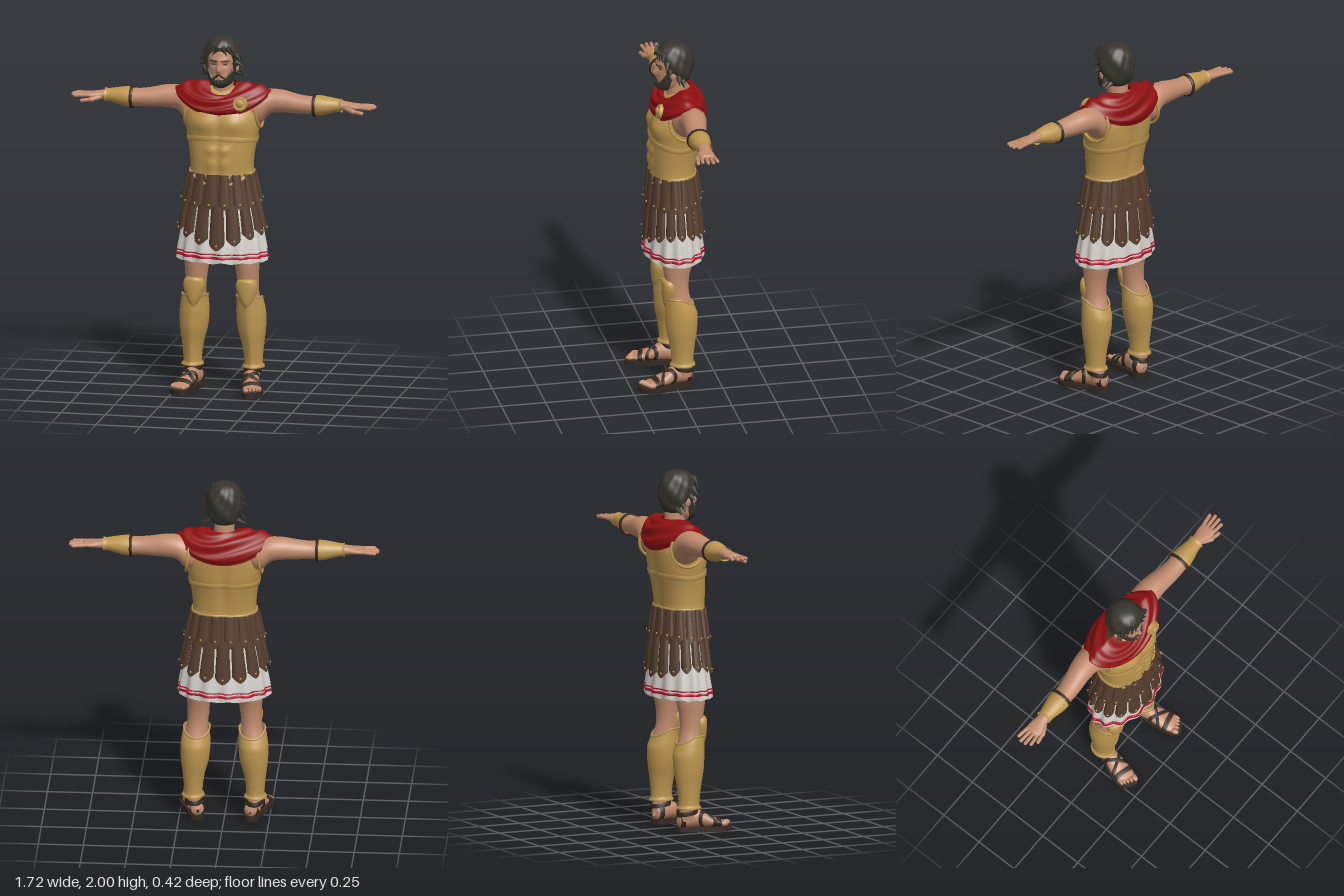
import * as THREE from 'three';
import { mergeGeometries, mergeVertices } from 'three/addons/utils/BufferGeometryUtils.js';

const { PI, sin, cos, abs, max, min, exp } = Math;
const mat = (name, color) => {
  const m = new THREE.MeshStandardMaterial({ color, side: THREE.DoubleSide });
  m.name = name;
  return m;
};
const pw = (v, e) => Math.sign(v) * abs(v) ** e;
const mix = (a, b, t) => a + (b - a) * t;
const step = THREE.MathUtils.smoothstep;
const gauss = (x, y, cx, cy, sx, sy) => exp(-(((x - cx) / sx) ** 2) - ((y - cy) / sy) ** 2);

// Smooth surface from f(u, v) -> [x, y, z]; wraps around in u when closed
function grid(nu, nv, f, closed = true) {
  const pos = [], idx = [], cols = closed ? nu : nu + 1;
  for (let j = 0; j <= nv; j++) for (let i = 0; i < cols; i++) pos.push(...f(i / nu, j / nv));
  for (let j = 0; j < nv; j++) for (let i = 0; i < nu; i++) {
    const a = j * cols + i, b = j * cols + (i + 1) % cols;
    idx.push(a, b, b + cols, a, b + cols, a + cols);
  }
  const g = new THREE.BufferGeometry();
  g.setAttribute('position', new THREE.Float32BufferAttribute(pos, 3));
  g.setIndex(idx);
  g.computeVertexNormals();
  return g;
}

// Rings are [height, centreX, centreZ, radiusX, radiusZ], interpolated smoothly by height
function ringAt(R, y) {
  const n = R.length;
  let i = 0;
  while (i < n - 2 && y > R[i + 1][0]) i++;
  const slope = (k, c) => {
    const a = R[max(k - 1, 0)], b = R[min(k + 1, n - 1)];
    return (b[c] - a[c]) / (b[0] - a[0]);
  };
  const h = R[i + 1][0] - R[i][0], s = min(1, max(0, (y - R[i][0]) / h));
  return [1, 2, 3, 4].map(c => (1 + 2 * s) * (1 - s) ** 2 * R[i][c] + s * s * (3 - 2 * s) * R[i + 1][c]
    + h * s * (1 - s) ** 2 * slope(i, c) + h * s * s * (s - 1) * slope(i + 1, c));
}
function ringPoint(R, a, y, off = 0, e = 1) {
  const [x, z, rx, rz] = ringAt(R, y);
  return [x + (rx + off) * pw(sin(a), e), y, z + (rz + off) * pw(cos(a), e)];
}
function loft(R, seg = 32, fn = (a, y) => ringPoint(R, a, y), sub = 5) {
  const n = R.length - 1;
  return grid(seg, n * sub, (u, v) => {
    const i = min(n - 1, Math.floor(v * n + 1e-6));
    return fn(u * 2 * PI, mix(R[i][0], R[i + 1][0], v * n - i));
  });
}
// Raised strip running round a surface
const band = (fn, y0, y1, off, seg = 64) => grid(seg, 3, (u, v) => {
  const r = Math.round(v * 3);
  return fn(u * 2 * PI, r < 2 ? y0 : y1, r % 3 ? off : -0.003);
});
const rod = (a, b, r) => {
  const p = new THREE.Vector3(...a), q = new THREE.Vector3(...b), d = q.clone().sub(p);
  const g = new THREE.CapsuleGeometry(r, d.length(), 4, 10);
  g.applyQuaternion(new THREE.Quaternion().setFromUnitVectors(new THREE.Vector3(0, 1, 0), d.normalize()));
  return g.translate(...p.add(q).multiplyScalar(0.5).toArray());
};
const ball = (p, s) => new THREE.SphereGeometry(1, 20, 14).scale(...s).translate(...p);
const mirrored = g => {
  const m = (g.index ? g.clone() : mergeVertices(g)).scale(-1, 1, 1), ix = m.index.array;
  for (let i = 0; i < ix.length; i += 3) [ix[i], ix[i + 1]] = [ix[i + 1], ix[i]];
  return m;
};

export function createModel() {
  const root = new THREE.Group();
  root.name = 'warrior';
  const skin = mat('skin', 0xc08a6c), gold = mat('gold', 0xbd964f), leather = mat('leather', 0x553c2d),
    dark = mat('dark leather', 0x322820), hair = mat('hair', 0x38342d), red = mat('cape red', 0x8f0f10),
    white = mat('tunic white', 0xd6d2cc), trim = mat('trim red', 0xc0102c);
  const add = (name, g, m) => {
    const mesh = new THREE.Mesh(Array.isArray(g) ? mergeGeometries(g) : g, m);
    mesh.name = name;
    root.add(mesh);
  };
  const pair = (name, g, m) => {
    const one = Array.isArray(g) ? mergeGeometries(g) : g;
    add('left ' + name, one, m);
    add('right ' + name, mirrored(one), m);
  };

  // Muscled breastplate
  const torsoR = [[1.235, 0, -0.015, 0.178, 0.122], [1.27, 0, -0.016, 0.175, 0.122], [1.35, 0, -0.02, 0.182, 0.13],
    [1.45, 0, -0.032, 0.198, 0.138], [1.52, 0, -0.038, 0.208, 0.14], [1.58, 0, -0.048, 0.2, 0.134],
    [1.64, 0, -0.056, 0.17, 0.112], [1.69, 0, -0.055, 0.12, 0.07], [1.71, 0, -0.05, 0.06, 0.04]];
  const torso = (a, y, off = 0) => {
    const p = ringPoint(torsoR, a, y, off, 0.86), c = cos(a), x = abs(p[0]);
    if (c > 0) {
      p[2] += 0.02 * gauss(x, y, 0.085, 1.53, 0.07, 0.055) - 0.006 * gauss(x, y, 0, 1.4, 0.012, 0.15);
      for (const r of [1.375, 1.318, 1.262]) p[2] += 0.014 * gauss(x, y, 0.038, r, 0.03, 0.024);
      p[1] -= 0.07 * c ** 3 * max(0, 1 - (y - 1.235) / 0.12);
    } else p[2] += 0.012 * gauss(x, y, 0, 1.42, 0.03, 0.2);
    return p;
  };
  add('breastplate', loft(torsoR, 96, torso, 8), gold);
  add('breastplate hem', band(torso, 1.233, 1.247, 0.007), gold);
  add('chest band', band((a, y, o) => torso(a, y + 0.026 * cos(a) * (cos(a) > 0 ? 1 : -0.5), o), 1.402, 1.43, 0.006, 96), gold);
  pair('armhole rim', new THREE.TorusGeometry(0.1, 0.008, 8, 40).rotateY(PI / 2).rotateZ(0.12)
    .translate(0.198, 1.585, -0.062), gold);

  // Draped cape
  add('cape', grid(96, 24, (u, v) => {
    const a = u * 2 * PI, c = cos(a), s = sin(a), w = 1 - v, edge = w > 0.95 ? 1 : 0;
    const front = max(0, c);
    const inner = [0.075 * s, 1.735 - 0.06 * front, -0.045 + 0.07 * c];
    const outer = [0.285 * s, 1.69 - 0.118 * abs(c) ** 1.5, -0.052 + (c > 0 ? 0.155 : 0.152) * c];
    const bulge = sin(w * PI), fold = 0.007 * sin(w * 15 + 2.5 * sin(a * 2 + 0.6)) * bulge;
    return [mix(inner[0], outer[0], w) + s * 0.012 * bulge - edge * 0.015 * s,
      mix(inner[1], outer[1], w) + 0.016 * bulge + fold - edge * 0.008,
      mix(inner[2], outer[2], w) + c * (0.02 * bulge + fold) - edge * 0.015 * c];
  }), red);
  add('brooch', [new THREE.CylinderGeometry(0.036, 0.042, 0.02, 24).rotateX(PI / 2 - 0.25).translate(0.12, 1.64, 0.082),
    ball([0.12, 1.643, 0.092], [0.022, 0.022, 0.012])], gold);

  // Neck and head
  add('neck', loft([[1.62, 0, -0.05, 0.085, 0.08], [1.69, 0, -0.045, 0.06, 0.06], [1.8, 0, -0.035, 0.055, 0.06]]), skin);
  const headR = [[1.715, 0, 0.025, 0.006, 0.006], [1.74, 0, 0.013, 0.048, 0.055], [1.78, 0, 0, 0.066, 0.07],
    [1.84, 0, -0.01, 0.077, 0.081], [1.9, 0, -0.016, 0.08, 0.086], [1.96, 0, -0.02, 0.06, 0.065], [1.985, 0, -0.02, 0.01, 0.01]];
  const head = (a, y, off = 0) => {
    const p = ringPoint(headR, a, y, off), x = abs(p[0]);
    if (cos(a) > 0) p[2] += 0.02 * gauss(x, y, 0, 1.822, 0.013, 0.018) + 0.011 * gauss(x, y, 0, 1.85, 0.011, 0.025)
      - 0.008 * gauss(x, y, 0.032, 1.855, 0.017, 0.012) + 0.005 * gauss(x, y, 0.03, 1.88, 0.03, 0.01)
      + 0.005 * gauss(x, y, 0, 1.783, 0.02, 0.008);
    return p;
  };
  add('head', loft(headR, 96, head, 8), skin);
  pair('ear', ball([0.086, 1.83, -0.005], [0.012, 0.028, 0.018]), skin);
  pair('eye', ball([0.032, 1.856, 0.06], [0.015, 0.004, 0.004]), dark);
  pair('eyebrow', rod([0.014, 1.876, 0.076], [0.052, 1.877, 0.056], 0.004), hair);

  // Beard and moustache follow the jaw
  add('beard', grid(48, 14, (u, v) => {
    const a = mix(-1.5, 1.5, u), top = mix(1.77, 1.845, step(abs(a), 0.35, 1.3));
    return head(a, mix(1.716, top, v), v === 1 ? -0.003 : 0.009 + 0.002 * sin(a * 22 + v * 5));
  }, false), hair);
  pair('moustache', rod([0.004, 1.798, 0.077], [0.034, 1.774, 0.066], 0.006), hair);

  // Wavy hair with loose locks
  add('hair', grid(96, 30, (u, v) => {
    const a = u * 2 * PI, t = abs(a > PI ? a - 2 * PI : a);
    const low = mix(mix(0.42, -0.35, step(t, 0.65, 1.15)), -1.05, step(t, 1.5, 2.2));
    const f = mix(low, PI / 2, v), c = max(0, cos(f));
    const r = (v === 0 ? 0.84 : 1) * (1 + c * (0.03 * sin(5 * a + 6 * f) + 0.02 * sin(11 * a - 5 * f)));
    return [0.102 * r * c ** 0.7 * sin(a), 1.873 + 0.126 * sin(f), -0.026 + 0.108 * r * c ** 0.7 * cos(a)];
  }), hair);
  const lock = (p, d, len, r) => new THREE.ConeGeometry(r, len, 8).translate(0, len * 0.35, 0).applyQuaternion(
    new THREE.Quaternion().setFromUnitVectors(new THREE.Vector3(0, 1, 0), new THREE.Vector3(...d).normalize())).translate(...p);
  pair('side locks', [lock([0.088, 1.9, 0.03], [0.7, -0.7, 0.3], 0.055, 0.018), lock([0.092, 1.86, 0.015], [0.8, -0.4, 0.2], 0.05, 0.016),
    lock([0.086, 1.82, -0.035], [0.7, -0.8, 0], 0.065, 0.02), lock([0.075, 1.79, -0.06], [0.9, -0.4, 0], 0.07, 0.02),
    lock([0.078, 1.85, 0.022], [0, -1, 0.1], 0.06, 0.014)], hair);
  add('fringe', [-0.06, -0.035, -0.01, 0.02, 0.045, 0.065].map((x, i) =>
    lock([x, 1.945, 0.068 - 5 * x * x], [i < 3 ? -0.6 : 0.6, -0.8, 0.25], 0.055, 0.018)), hair);

  // Pleated tunic with red trim
  const skirtR = [[0.74, 0, -0.02, 0.256, 0.163], [0.9, 0, -0.021, 0.243, 0.154], [1.05, 0, -0.02, 0.212, 0.14], [1.25, 0, -0.018, 0.168, 0.116]];
  const tunic = (a, y, o = 0) => ringPoint(skirtR, a, y, o - 0.01 * step(y, 0.75, 0.92)
    + 0.008 * sin(14 * a) * step(1.1 - y, 0, 0.36));
  add('tunic', grid(140, 14, (u, v) => {
    const p = tunic(u * 2 * PI, mix(0.742, 1.12, v));
    p[1] += 0.005 * sin(14 * u * 2 * PI) * (1 - v);
    return p;
  }), white);
  add('tunic trim', [band(tunic, 0.766, 0.78, 0.003, 140), band(tunic, 0.789, 0.796, 0.003, 140)], trim);

  // Two layers of leather strips with studs
  add('waist lining', grid(64, 4, (u, v) => ringPoint(skirtR, u * 2 * PI, mix(1.05, 1.25, v), -0.004)), leather);
  const strips = (n, shift, width, bottom, off) => Array.from({ length: n }, (_, i) => {
    const a0 = (i + shift) / n * 2 * PI, end = bottom(a0);
    return grid(8, 12, (u, v) => {
      const k = abs(2 * u - 1), edge = k > 0.99 ? -0.01 : 0;
      const w = width * (0.85 + 0.15 * (1 - v));
      return ringPoint(skirtR, a0 + (u - 0.5) * w, mix(end + 0.035 * k ** 1.5, 1.24, v), off + 0.007 * (1 - k * k) + edge);
    }, false);
  });
  const longEnd = a => 0.9 - 0.05 * cos(a) ** 2 - 0.035 * max(0, cos(a)) ** 12;
  const shortEnd = a => 1.06 - 0.015 * cos(a);
  add('long strips', strips(16, 0, 0.36, longEnd, 0.006), leather);
  add('short strips', strips(16, 0.5, 0.385, shortEnd, 0.017), leather);
  const studs = (shift, end, off) => Array.from({ length: 16 }, (_, i) => {
    const a = (i + shift) / 16 * 2 * PI;
    return ball(ringPoint(skirtR, a, end(a) + 0.028, off), [0.006, 0.006, 0.006]);
  });
  add('strip studs', [...studs(0, longEnd, 0.013), ...studs(0.5, shortEnd, 0.024)], gold);

  // Arms lie along x: lofted upright, then turned
  const armY = 1.63;
  const turn = g => g.rotateZ(-PI / 2).translate(0, armY, 0);
  const armR = [[0.13, 0.03, -0.065, 0.07, 0.075], [0.2, 0.035, -0.066, 0.094, 0.09], [0.26, 0.002, -0.077, 0.07, 0.074],
    [0.33, -0.003, -0.075, 0.063, 0.066], [0.4, 0.004, -0.066, 0.056, 0.06], [0.47, 0.008, -0.06, 0.05, 0.055],
    [0.55, 0.008, -0.06, 0.05, 0.052], [0.65, 0.003, -0.06, 0.032, 0.037], [0.69, 0.003, -0.058, 0.025, 0.036],
    [0.74, 0.004, -0.055, 0.018, 0.046], [0.775, 0.004, -0.055, 0.014, 0.042], [0.785, 0.004, -0.055, 0.003, 0.03]];
  pair('arm', turn(loft(armR)), skin);
  pair('fingers', [[-0.09, -0.1, 0.835], [-0.068, -0.073, 0.85], [-0.045, -0.045, 0.848], [-0.022, -0.016, 0.832]].map(
    ([z0, z1, x]) => rod([0.765, 1.626, z0], [x, 1.624, z1], 0.0105)).concat(
    rod([0.695, 1.618, -0.032], [0.74, 1.606, -0.008], 0.015), rod([0.74, 1.606, -0.008], [0.79, 1.6, 0.0], 0.011)), skin);
  const bracerR = [[0.515, 0.008, -0.06, 0.058, 0.062], [0.56, 0.007, -0.06, 0.054, 0.058],
    [0.63, 0.003, -0.06, 0.039, 0.044], [0.655, 0.003, -0.06, 0.036, 0.041], [0.668, 0.003, -0.06, 0.04, 0.045]];
  pair('bracer', turn(loft(bracerR)), gold);
  pair('bracer cuff', turn(band((a, y, o) => ringPoint(bracerR, a, y, o), 0.508, 0.524, 0.006, 40)), dark);

  // Legs with greaves and knee guards
  pair('leg', loft([[0.06, 0.165, -0.05, 0.038, 0.048], [0.14, 0.17, -0.042, 0.042, 0.05], [0.42, 0.163, -0.036, 0.07, 0.078],
    [0.55, 0.15, -0.018, 0.058, 0.062], [0.64, 0.145, -0.012, 0.061, 0.068], [0.74, 0.14, -0.016, 0.071, 0.086],
    [0.95, 0.115, -0.02, 0.09, 0.1]]), skin);
  const greaveR = [[0.13, 0.172, -0.041, 0.06, 0.066], [0.155, 0.172, -0.041, 0.051, 0.058], [0.25, 0.17, -0.04, 0.06, 0.068],
    [0.34, 0.164, -0.038, 0.077, 0.083], [0.43, 0.16, -0.037, 0.083, 0.088], [0.5, 0.157, -0.03, 0.077, 0.083], [0.54, 0.153, -0.022, 0.072, 0.079]];
  const greave = (a, y, o = 0) => {
    const p = ringPoint(greaveR, a, y, o);
    p[1] -= 0.045 * max(0, -cos(a)) * step(y, 0.4, 0.54);
    p[2] += 0.006 * max(0, cos(a)) ** 20;
    return p;
  };
  pair('greave', loft(greaveR, 64, greave), gold);
  pair('greave rims', [band(greave, 0.13, 0.14, 0.004, 48), band(greave, 0.53, 0.54, 0.004, 48)], gold);
  pair('knee guard', loft([[0.465, 0.153, 0.045, 0.004, 0.01], [0.51, 0.151, 0.034, 0.036, 0.035], [0.57, 0.149, 0.032, 0.057, 0.042],
    [0.61, 0.148, 0.033, 0.06, 0.041], [0.637, 0.148, 0.036, 0.042, 0.032], [0.645, 0.148, 0.038, 0.005, 0.006]]), gold);

  // Feet and sandals point slightly outward; lofted upright, then laid along z
  const place = g => g.rotateY(0.24).translate(0.167, 0, 0);
  const lay = g => place(g.rotateX(PI / 2));
  const footR = [[-0.102, 0, -0.055, 0.008, 0.01], [-0.09, 0, -0.06, 0.034, 0.035], [-0.04, 0, -0.072, 0.041, 0.05],
    [0.02, 0, -0.072, 0.042, 0.047], [0.08, 0, -0.055, 0.05, 0.032], [0.14, 0, -0.043, 0.053, 0.02], [0.17, 0, -0.04, 0.046, 0.012]];
  pair('foot', lay(loft(footR)), skin);
  pair('toes', [-0.036, -0.012, 0.008, 0.026, 0.042].map((x, i) =>
    place(ball([x, 0.042, 0.183 - 0.007 * i], [i ? 0.0095 : 0.015, 0.013, 0.024]))), skin);
  const sole = new THREE.Shape();
  sole.moveTo(0, -0.112);
  sole.splineThru([[0.04, -0.085], [0.043, 0], [0.06, 0.09], [0.058, 0.16], [0.02, 0.202], [-0.035, 0.212],
    [-0.058, 0.17], [-0.056, 0.09], [-0.043, 0], [-0.04, -0.085], [0, -0.112]].map(p => new THREE.Vector2(...p)));
  pair('sandal sole', place(new THREE.ExtrudeGeometry(sole, { depth: 0.028, bevelEnabled: false, curveSegments: 4 })
    .rotateX(PI / 2).translate(0, 0.028, 0)), dark);
  const strap = (t0, t1, lean) => lay(band((a, t, o) => ringPoint(footR, a, t + lean * sin(a), o), t0, t1, 0.006, 40));
  pair('sandal straps', [strap(0.115, 0.14, 0), strap(0.06, 0.08, 0.035), strap(0.045, 0.065, -0.035), strap(-0.085, -0.06, 0)], dark);
  const ankleR = [[0.08, 0.165, -0.046, 0.044, 0.055], [0.125, 0.168, -0.043, 0.045, 0.054]];
  pair('ankle strap', band((a, y, o) => ringPoint(ankleR, a, y + 0.01 * cos(a), o), 0.095, 0.12, 0.004, 40), dark);
  return root;
}
